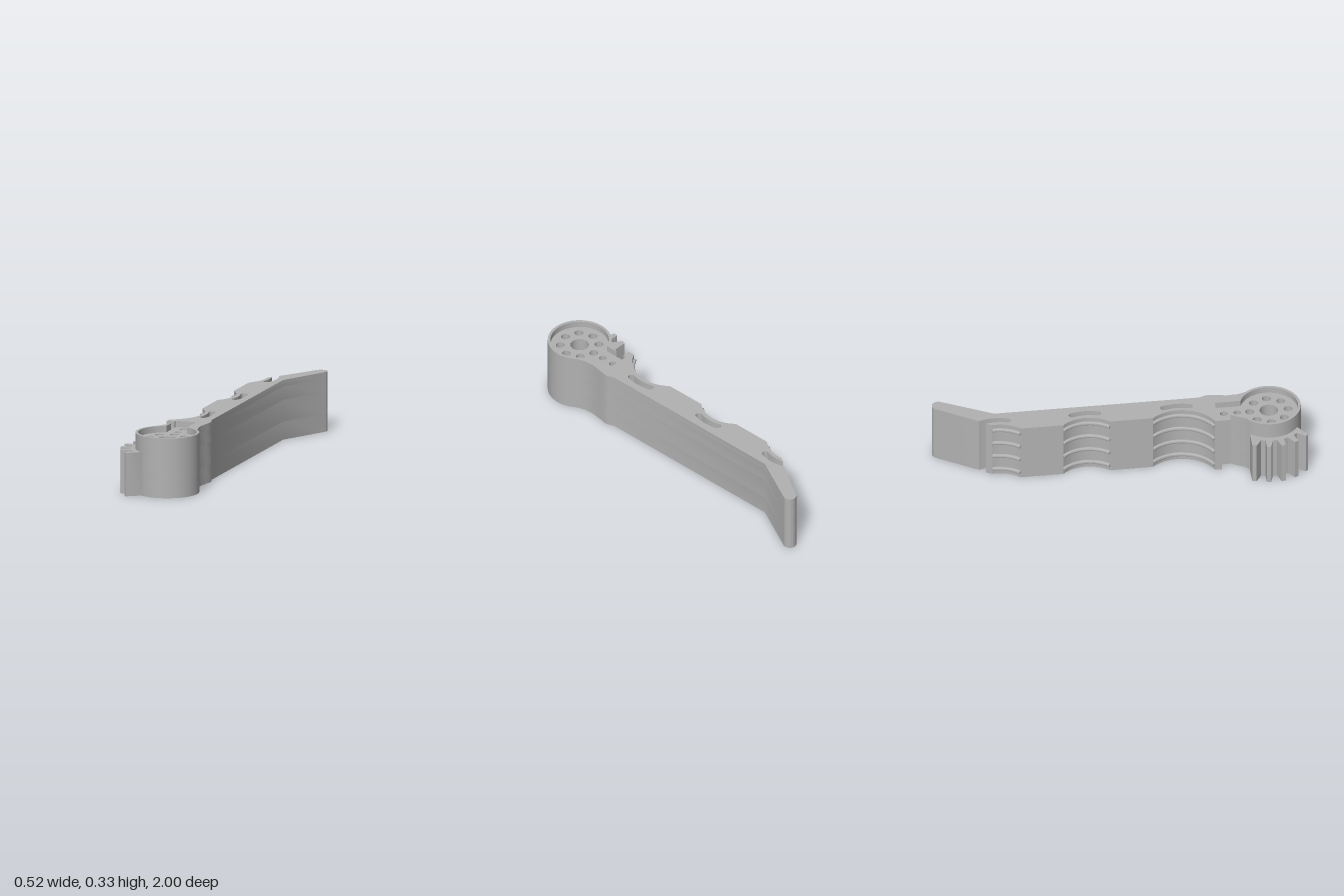
import * as THREE from 'three';
import { toCreasedNormals } from 'three/addons/utils/BufferGeometryUtils.js';

const RAD = Math.PI / 180;
const HUB = [-0.005, 0.808];
const HEIGHT = 0.33, FLOOR = 0.295, GEAR_HEIGHT = 0.24;
const grey = new THREE.MeshStandardMaterial({ color: 0xb2b2b2 });
grey.name = 'plainGrey';

// Finger scoops on the grip: centre, radius and angle range in degrees
const scoops = [
  { c: [-0.18, -0.68], r: 0.191, a0: -6, a1: 43 },
  { c: [-0.18, -0.19], r: 0.189, a0: -42.5, a1: 42.5 },
  { c: [-0.2, 0.31], r: 0.212, a0: -41, a1: 64.5 },
];

// Points [x, z] along a circle from angle a0 to a1 in degrees
function arc([cx, cz], r, a0, a1, n = 24) {
  return Array.from({ length: n + 1 }, (_, i) => {
    const a = (a0 + (a1 - a0) * i / n) * RAD;
    return [cx + r * Math.cos(a), cz + r * Math.sin(a)];
  });
}

const toVectors = (pts) => pts.map(([x, z]) => new THREE.Vector2(x, z));

// Plan outline in (x, z) raised from y0 to y1
function slab(name, outline, y0, y1, holes = [], bevel = 0) {
  const shape = new THREE.Shape(toVectors(outline));
  shape.holes = holes.map((h) => new THREE.Path(toVectors(h)));
  let geo = new THREE.ExtrudeGeometry(shape, {
    depth: y1 - y0 - 2 * bevel, bevelEnabled: bevel > 0,
    bevelSize: bevel, bevelThickness: bevel, bevelSegments: 2,
  });
  geo.rotateX(Math.PI / 2).translate(0, y1 - bevel, 0);
  geo = toCreasedNormals(geo, 0.5);
  const mesh = new THREE.Mesh(geo, grey);
  mesh.name = name;
  return mesh;
}

const circle = (c, r) => arc(c, r, 0, 360 - 15, 23);

// Curved slot with round ends, concentric with a scoop
function curvedSlot(c, r, half, w) {
  const end = (s) => [c[0] + r * Math.cos(half * RAD), c[1] + s * r * Math.sin(half * RAD)];
  return [
    ...arc(c, r + w, -half, half, 16),
    ...arc(end(1), w, half, half + 180, 10).slice(1, -1),
    ...arc(c, r - w, half, -half, 16),
    ...arc(end(-1), w, 180 - half, 360 - half, 10).slice(1, -1),
  ];
}

// Body outline; the recess points open the top layer around the hub
function bodyOutline(recess = []) {
  const c = scoops[0].c;
  const slotEnd = [c[0] + 0.2315 * Math.cos(17 * RAD), c[1] + 0.2315 * Math.sin(17 * RAD)];
  return [
    // outer side, from the hub to the angled tip
    [0.114, 0.655], [0.111, 0.595], [0.12, 0.54], [0.127, 0.495], [0.125, 0.475], [0.111, 0.44],
    [0.111, -0.675],
    ...arc([0.222, -0.965], 0.035, 28, -148, 16),
    // open slot behind the first scoop
    ...arc(c, 0.25, -20, 17, 14),
    ...arc(slotEnd, 0.0185, 17, 197, 10).slice(1, -1),
    ...arc(c, 0.213, 17, -13.5, 14),
    // scooped grip side
    ...arc(scoops[0].c, scoops[0].r, scoops[0].a0, scoops[0].a1, 16),
    ...arc(scoops[1].c, scoops[1].r, scoops[1].a0, scoops[1].a1, 24),
    ...arc(scoops[2].c, scoops[2].r, scoops[2].a0, scoops[2].a1, 30),
    [-0.11, 0.54], [-0.065, 0.54],
    ...recess,
    [-0.065, 0.59],
    // round hub
    ...arc(HUB, 0.1725, 232.7, -39, 64),
  ];
}

export function createModel() {
  const model = new THREE.Group();
  model.name = 'grippedLever';

  const slots = [
    curvedSlot(scoops[1].c, 0.2315, 17.5, 0.0185),
    curvedSlot(scoops[2].c, 0.2515, 16, 0.0185),
  ];
  const outline = bodyOutline();

  // Stepped centre bore
  model.add(slab('lowerBody', outline, 0, 0.1, [...slots, circle(HUB, 0.058)]));
  model.add(slab('middleBody', outline, 0.1, 0.22, [...slots, circle(HUB, 0.026)]));

  // Recess floor with a ring of blind screw holes and two more in the arm
  const screwHoles = [circle([-0.005, 0.562], 0.02), circle([-0.005, 0.636], 0.02)];
  for (let i = 0; i < 8; i++) {
    const a = i * Math.PI / 4;
    screwHoles.push(circle([HUB[0] + 0.105 * Math.cos(a), HUB[1] + 0.105 * Math.sin(a)], 0.024));
  }
  model.add(slab('recessFloor', outline, 0.22, FLOOR, [...slots, circle(HUB, 0.05), ...screwHoles]));

  // Rim around the round recess and its straight arm
  const recess = [
    [-0.065, 0.52], [0.052, 0.52],
    ...arc(HUB, 0.158, -68.9, 247.7, 64),
  ];
  model.add(slab('topRim', bodyOutline(recess), FLOOR, HEIGHT, slots));

  // Gear sector: angles run from the grip side towards the front
  const polar = (a, r) => [HUB[0] - r * Math.cos(a * RAD), HUB[1] + r * Math.sin(a * RAD)];
  const gear = [[-0.1, 0.688], [-0.233, 0.688], polar(-22.5, 0.255), polar(-19.5, 0.2)];
  for (const a of [-7, 11, 29]) {
    gear.push(polar(a - 5.5, 0.2), polar(a - 2.7, 0.255), polar(a + 2.7, 0.255), polar(a + 5.5, 0.2));
  }
  gear.push(polar(41.5, 0.2), polar(44.3, 0.255), polar(49, 0.255), polar(55.4, 0.1725));
  for (let a = 55; a >= -50; a -= 7) gear.push(polar(a, 0.16));
  model.add(slab('gearSector', gear, 0, GEAR_HEIGHT));

  // Four raised grip ribs across each scoop
  scoops.forEach(({ c, r, a0, a1 }, s) => {
    const ribs = new THREE.Group();
    ribs.name = `gripRibs${s + 1}`;
    const sector = [...arc(c, r + 0.004, a0 + 2, a1 - 2, 24), ...arc(c, r - 0.006, a1 - 2, a0 + 2, 24)];
    for (let i = 0; i < 4; i++) {
      const y = 0.035 + 0.087 * i;
      ribs.add(slab('gripRib', sector, y - 0.01, y + 0.01, [], 0.008));
    }
    model.add(ribs);
  });

  return model;
}
